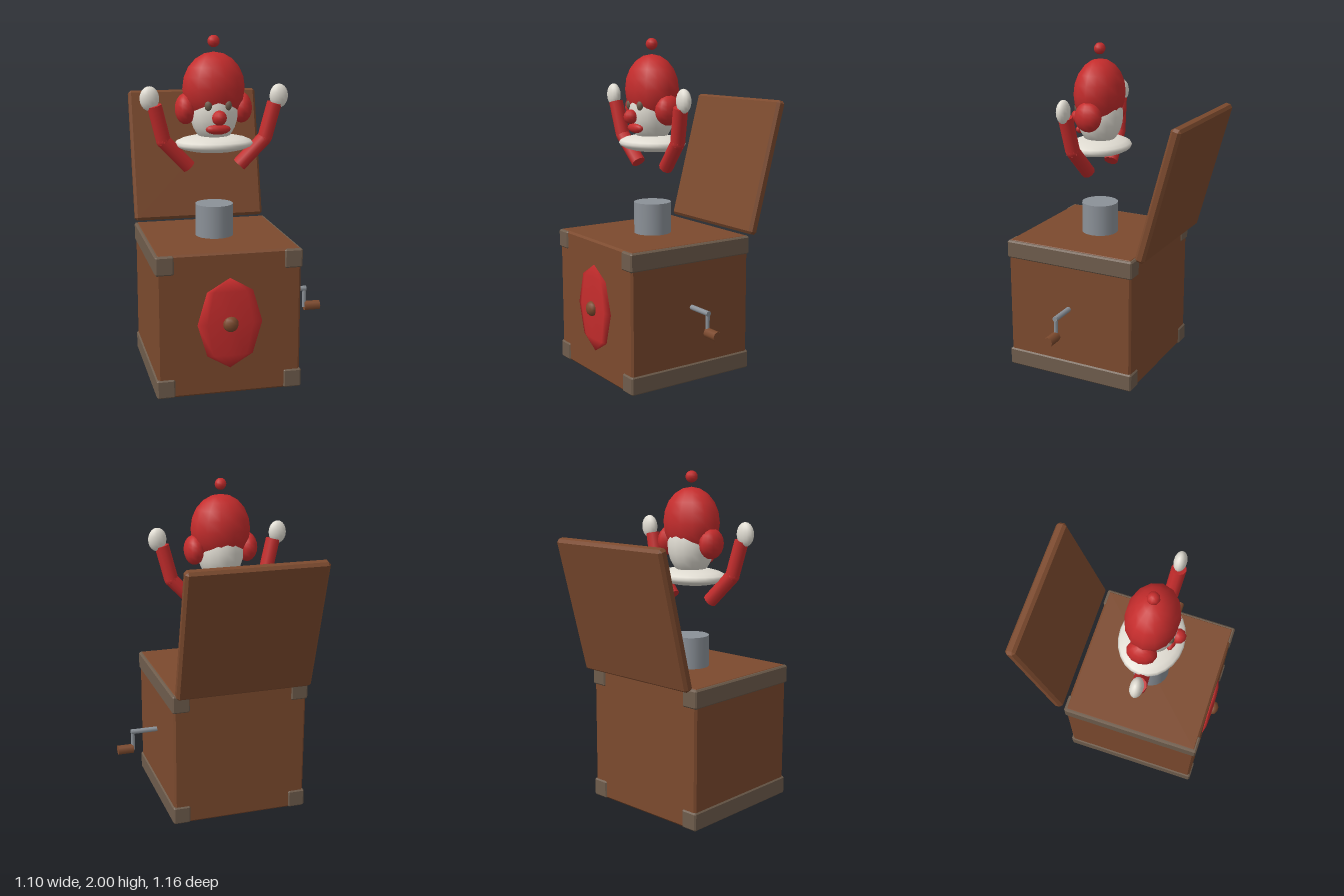
import * as THREE from 'three';
import { ConvexGeometry } from 'three/addons/geometries/ConvexGeometry.js';

const material = (name, color) => {
  const m = new THREE.MeshStandardMaterial({ color });
  m.name = name;
  return m;
};

// Box with chamfered edges
function chamferBox(w, h, d, c) {
  const pts = [];
  for (const x of [-1, 1]) for (const y of [-1, 1]) for (const z of [-1, 1]) {
    const [a, b, e] = [x * w / 2, y * h / 2, z * d / 2];
    pts.push(
      new THREE.Vector3(a, b - y * c, e - z * c),
      new THREE.Vector3(a - x * c, b, e - z * c),
      new THREE.Vector3(a - x * c, b - y * c, e));
  }
  return new ConvexGeometry(pts);
}

export function createModel() {
  const wood = material('wood', 0x7c4a2e);
  const strapGrey = material('strap grey brown', 0x6e5c4c);
  const red = material('red', 0xc42c2c);
  const white = material('off white', 0xe0dcd2);
  const metal = material('metal', 0x8b9198);

  // The toy is built around its own vertical axis, then shifted into place
  const toy = new THREE.Group();
  toy.name = 'jackInTheBox';
  toy.position.set(-0.117, 0, 0.117);

  const add = (name, geometry, mat, x = 0, y = 0, z = 0) => {
    const mesh = new THREE.Mesh(geometry, mat);
    mesh.name = name;
    mesh.position.set(x, y, z);
    toy.add(mesh);
    return mesh;
  };
  const ellipsoid = (name, mat, pos, r, ws = 16, hs = 12) =>
    add(name, new THREE.SphereGeometry(1, ws, hs).scale(...r), mat, ...pos);
  const rod = (name, mat, from, to, radius, sides = 10) => {
    const a = new THREE.Vector3(...from), b = new THREE.Vector3(...to);
    const dir = b.clone().sub(a);
    const mesh = add(name, new THREE.CylinderGeometry(radius, radius, dir.length(), sides), mat);
    mesh.position.copy(a).add(b).multiplyScalar(0.5);
    mesh.quaternion.setFromUnitVectors(new THREE.Vector3(0, 1, 0), dir.normalize());
    return mesh;
  };

  // Box, edge straps and open lid
  add('box', chamferBox(0.826, 0.832, 0.826, 0.012), wood, 0, 0.416, 0);
  for (const x of [-0.368, 0.368]) for (const y of [0.057, 0.774])
    add('edgeStrap', chamferBox(0.106, 0.11, 0.842, 0.009), strapGrey, x, y, 0);
  const lid = add('lid', chamferBox(0.826, 0.826, 0.062, 0.016), wood, 0, 1.228, -0.564);
  lid.rotation.x = -THREE.MathUtils.degToRad(15);

  // Front ornament with its knob
  ellipsoid('frontOrnament', red, [0, 0.42, 0.414], [0.187, 0.265, 0.022], 8, 4);
  ellipsoid('ornamentKnob', wood, [0, 0.42, 0.433], [0.045, 0.045, 0.035], 10, 8);

  // Crank on the left side
  rod('crankAxle', metal, [0.4, 0.455, 0], [0.578, 0.455, 0], 0.016, 8);
  rod('crankArm', metal, [0.567, 0.468, 0], [0.567, 0.335, 0], 0.012, 8);
  rod('crankHandle', wood, [0.567, 0.342, 0], [0.664, 0.342, 0], 0.03, 8);

  // Canister the figure springs from
  rod('springCanister', metal, [0, 0.8, 0], [0, 1.022, 0], 0.112, 20);

  // Collar, head and cap
  ellipsoid('collar', white, [0, 1.38, 0], [0.23, 0.052, 0.187], 24, 10);
  ellipsoid('face', white, [0, 1.57, 0], [0.141, 0.19, 0.141]);
  ellipsoid('cap', red, [0, 1.7, 0], [0.184, 0.206, 0.149], 14, 10);
  ellipsoid('capBobble', red, [0, 1.965, 0], [0.036, 0.035, 0.036], 8, 8);
  ellipsoid('nose', red, [0, 1.543, 0.15], [0.043, 0.043, 0.043], 10, 8);
  ellipsoid('mouth', red, [0, 1.475, 0.118], [0.073, 0.03, 0.028], 12, 8);

  // Mirrored eyes, side tufts, arms and hands
  for (const s of [-1, 1]) {
    ellipsoid('eye', strapGrey, [s * 0.057, 1.61, 0.121], [0.022, 0.03, 0.02], 10, 8);
    ellipsoid('sideTuft', red, [s * 0.165, 1.583, -0.007], [0.062, 0.089, 0.086], 12, 10);
    const shoulder = [s * 0.15, 1.247, 0.002];
    const elbow = [s * 0.3, 1.405, 0.022];
    const wrist = [s * 0.352, 1.61, 0.038];
    rod('upperArm', red, shoulder, elbow, 0.043);
    ellipsoid('elbow', red, elbow, [0.043, 0.043, 0.043], 10, 8);
    rod('forearm', red, elbow, wrist, 0.043);
    ellipsoid('hand', white, [s * 0.379, 1.65, 0.036], [0.056, 0.07, 0.037], 14, 10);
  }

  const model = new THREE.Group();
  model.name = 'model';
  model.add(toy);
  return model;
}
